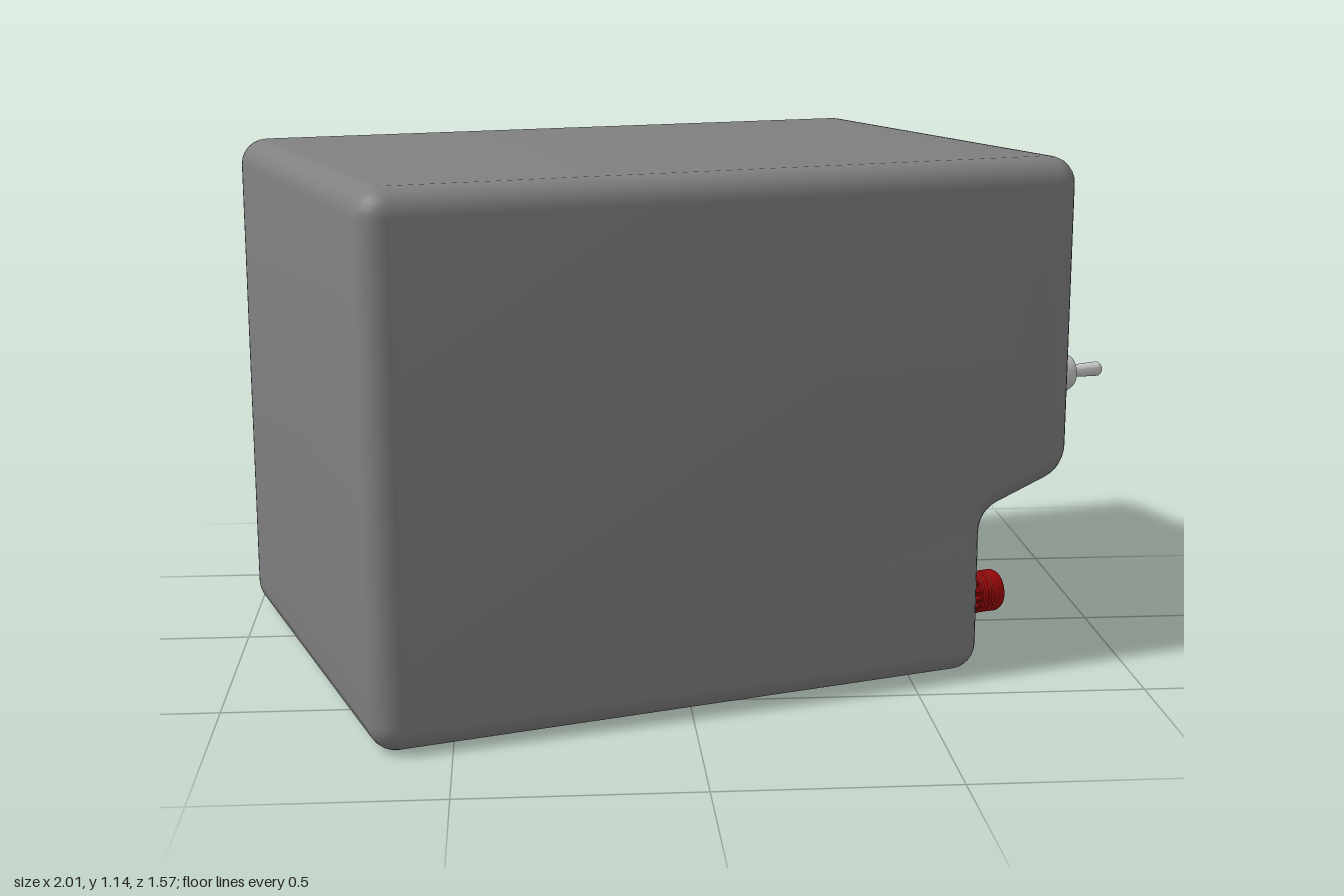
import * as THREE from 'three';
import { toCreasedNormals } from 'three/addons/utils/BufferGeometryUtils.js';

const material = (name, color, side = THREE.FrontSide) => {
  const m = new THREE.MeshStandardMaterial({ color, side });
  m.name = name;
  return m;
};

function mesh(name, geometry, mat, parent, x = 0, y = 0, z = 0) {
  const m = new THREE.Mesh(geometry, mat);
  m.name = name;
  m.position.set(x, y, z);
  parent.add(m);
  return m;
}

// Polygon with each corner [x, y, radius] rounded by an arc
function roundedShape(corners, steps = 6) {
  const points = [];
  corners.forEach(([x, y, r], i) => {
    const n = corners.length;
    const p = new THREE.Vector2(x, y);
    const u = new THREE.Vector2(...corners[(i + n - 1) % n].slice(0, 2)).sub(p).normalize();
    const v = new THREE.Vector2(...corners[(i + 1) % n].slice(0, 2)).sub(p).normalize();
    const half = Math.acos(u.dot(v)) / 2;
    const centre = u.clone().add(v).normalize().multiplyScalar(r / Math.sin(half)).add(p);
    const t = r / Math.tan(half);
    const a = u.multiplyScalar(t).add(p).sub(centre).angle();
    let d = v.multiplyScalar(t).add(p).sub(centre).angle() - a;
    d = Math.atan2(Math.sin(d), Math.cos(d));
    for (let k = 0; k <= steps; k++) {
      const q = a + (d * k) / steps;
      points.push(new THREE.Vector2(centre.x + r * Math.cos(q), centre.y + r * Math.sin(q)));
    }
  });
  return new THREE.Shape(points);
}

// Toothed ring or disc, extruded along +z
function toothed(teeth, outer, inner, depth) {
  const points = [];
  for (let i = 0; i < teeth * 4; i++) {
    const r = i % 4 < 2 ? outer : inner;
    const a = (i / (teeth * 4)) * Math.PI * 2;
    points.push(new THREE.Vector2(r * Math.cos(a), r * Math.sin(a)));
  }
  return new THREE.ExtrudeGeometry(new THREE.Shape(points), { depth, bevelEnabled: false });
}

// Turned part from [radius, distance] pairs, with its axis along +z
function turned(profile, segments = 28) {
  const g = new THREE.LatheGeometry(profile.map(([r, h]) => new THREE.Vector2(r, h)), segments);
  return toCreasedNormals(g.rotateX(Math.PI / 2), 0.6);
}

export function createModel() {
  const grey = material('case grey', 0x808080);
  const black = material('frame black', 0x181818);
  const glass = material('screen black', 0x202020);
  const dark = material('dark grey', 0x363636);
  const silver = material('metal', 0xcccccc);
  const red = material('terminal red', 0x9c0808, THREE.DoubleSide);

  const HX = 0.806, HZ = 0.577, H = 1.145, LOW = 0.59, BEVEL = 0.055;
  const model = new THREE.Group();
  model.name = 'instrumentBox';
  const device = new THREE.Group();
  device.name = 'device';
  device.position.x = -0.07;
  device.rotation.y = THREE.MathUtils.degToRad(18.3);
  model.add(device);

  // Case: stepped side profile extruded across, all edges rounded
  const profile = roundedShape([
    [-HX, 0, 0.06], [LOW, 0, 0.06], [LOW, 0.362, 0.06],
    [HX, 0.442, 0.08], [HX, H, 0.06], [-HX, H, 0.06],
  ]);
  const caseGeo = new THREE.ExtrudeGeometry(profile, {
    depth: 2 * (HZ - BEVEL), bevelThickness: BEVEL, bevelSize: BEVEL, bevelOffset: -BEVEL, bevelSegments: 6,
  });
  caseGeo.translate(0, 0, -(HZ - BEVEL));
  mesh('case', toCreasedNormals(caseGeo, 0.6), grey, device);

  // Panels whose +z points out of the upper and lower control faces
  const makePanel = (name, x) => {
    const g = new THREE.Group();
    g.name = name;
    g.position.x = x;
    g.rotation.y = Math.PI / 2;
    device.add(g);
    return g;
  };
  const upper = makePanel('upperPanel', HX);
  const lower = makePanel('lowerPanel', LOW);

  // Display: frame with an opening and recessed glass
  const rect = (w, h, Type) => new Type([
    new THREE.Vector2(-w, -h), new THREE.Vector2(w, -h), new THREE.Vector2(w, h), new THREE.Vector2(-w, h),
  ]);
  const frame = rect(0.395, 0.126, THREE.Shape);
  frame.holes.push(rect(0.365, 0.11, THREE.Path));
  mesh('displayFrame', new THREE.ExtrudeGeometry(frame, { depth: 0.035, bevelEnabled: false }), black, upper, 0, 0.936, 0);
  mesh('displayGlass', new THREE.BoxGeometry(0.735, 0.225, 0.02), glass, upper, 0, 0.936, 0.01);

  // Toggle switch
  const toggle = new THREE.Group();
  toggle.name = 'toggleSwitch';
  toggle.position.set(-0.366, 0.622, 0);
  upper.add(toggle);
  mesh('switchPlate', new THREE.BoxGeometry(0.132, 0.226, 0.02), dark, toggle, 0, 0, 0.005);
  mesh('toothedWasher', toothed(14, 0.062, 0.052, 0.012), silver, toggle, 0, 0, 0.014);
  mesh('switchNut', turned([[0, 0.02], [0.052, 0.02], [0.052, 0.05], [0.04, 0.055], [0, 0.055]], 6), silver, toggle);
  mesh('switchBarrel', turned([
    [0.04, 0.05], [0.04, 0.062], [0.047, 0.064], [0.047, 0.098], [0.038, 0.114], [0.026, 0.114], [0.02, 0.106], [0, 0.106],
  ]), silver, toggle);
  mesh('switchLever', turned([
    [0.013, 0.1], [0.017, 0.185], [0.0165, 0.194], [0.012, 0.2], [0, 0.202],
  ], 16), silver, toggle);

  // Rotary knob with a pointer tab on top
  const knob = new THREE.Group();
  knob.name = 'rotaryKnob';
  knob.position.set(0.143, 0.577, 0);
  upper.add(knob);
  mesh('knobDisc', turned([[0.078, 0], [0.078, 0.024], [0.073, 0.03], [0, 0.03]], 36), dark, knob);
  mesh('knobPointer', new THREE.BoxGeometry(0.024, 0.03, 0.02), dark, knob, 0, 0.076, 0.01);

  // Row of five terminals: knurled collar and hollow ribbed tip
  const collar = toothed(16, 0.051, 0.046, 0.05);
  const tip = turned([
    [0.044, 0.048], [0.044, 0.06], [0.048, 0.062], [0.048, 0.072], [0.044, 0.074], [0.044, 0.082],
    [0.048, 0.084], [0.048, 0.106], [0.043, 0.115], [0.025, 0.115], [0.022, 0.111], [0.022, 0.06], [0, 0.06],
  ]);
  for (let i = -2; i <= 2; i++) {
    const terminal = new THREE.Group();
    terminal.name = 'terminal';
    terminal.position.set(i * 0.2107 - 0.006, 0.136, 0);
    mesh('terminalCollar', collar, red, terminal);
    mesh('terminalTip', tip, red, terminal);
    lower.add(terminal);
  }

  // Small printed marks above the terminals: [x, y, width, height]
  [
    [-0.425, 0.292, 0.012, 0.012], [-0.443, 0.246, 0.01, 0.007], [-0.41, 0.246, 0.01, 0.007],
    [-0.247, 0.268, 0.01, 0.007], [-0.247, 0.247, 0.01, 0.007],
    [-0.034, 0.292, 0.007, 0.014], [-0.034, 0.275, 0.014, 0.007],
    [0.278, 0.266, 0.05, 0.015], [0.318, 0.261, 0.06, 0.014],
  ].forEach(([x, y, w, h]) => mesh('panelMark', new THREE.BoxGeometry(w, h, 0.006), black, lower, x, y, 0.002));

  return model;
}
